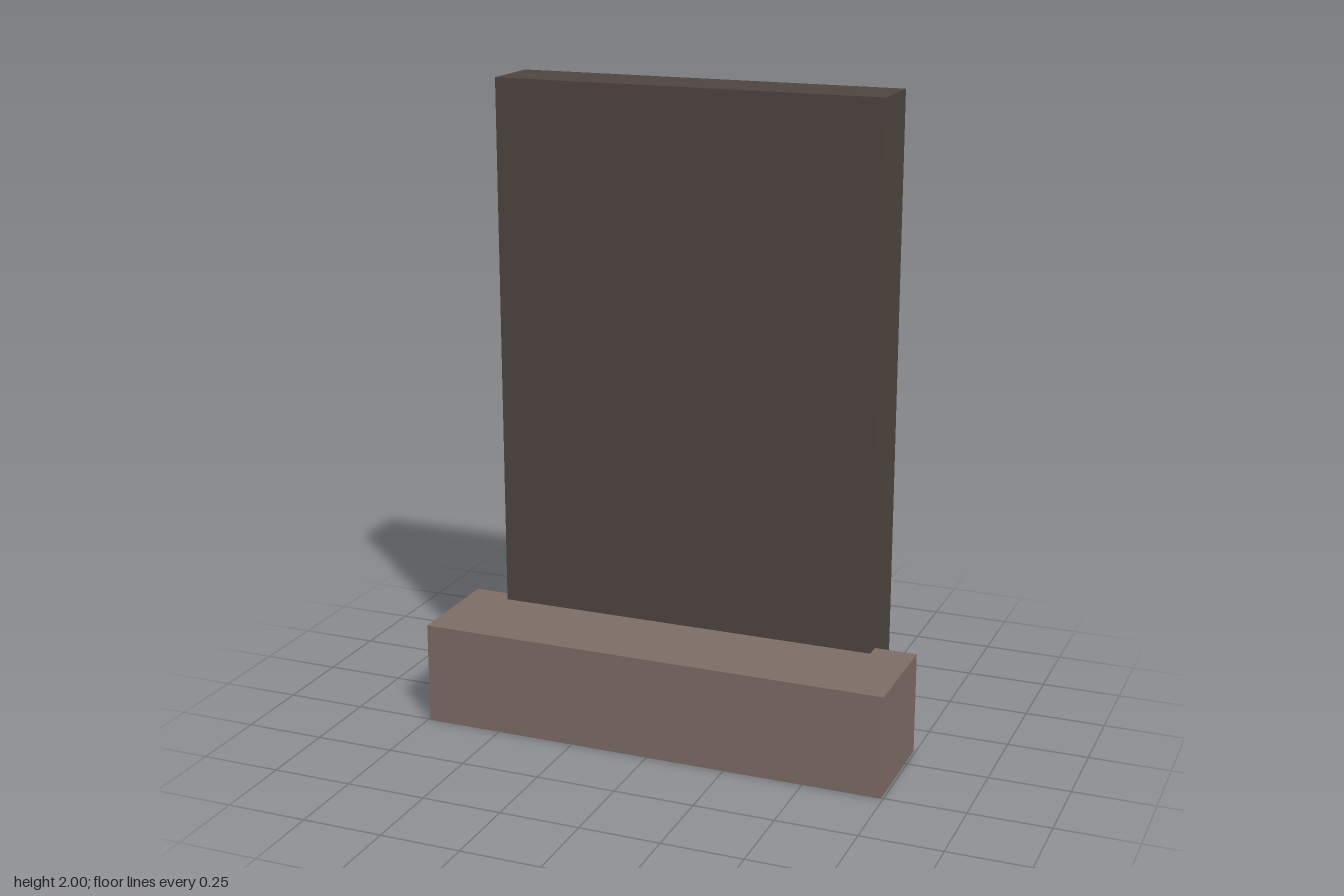
import * as THREE from 'three';

export function createModel() {
  const model = new THREE.Group();
  model.name = 'headstone';

  const darkStone = new THREE.MeshStandardMaterial({ color: 0x4f4640 });
  darkStone.name = 'dark stone';
  const lightStone = new THREE.MeshStandardMaterial({ color: 0x7e6e66 });
  lightStone.name = 'light stone';

  // Box spanning the given y and z ranges, centred on x
  const block = (name, material, width, [y0, y1], [z0, z1]) => {
    const mesh = new THREE.Mesh(new THREE.BoxGeometry(width, y1 - y0, z1 - z0), material);
    mesh.position.set(0, (y0 + y1) / 2, (z0 + z1) / 2);
    mesh.name = name;
    model.add(mesh);
  };

  // Upright slab, set into the rear of the plinth and raised off the ground
  block('slab', darkStone, 1.222, [0.075, 2], [-0.253, -0.046]);
  // Wide plinth in front
  block('plinth', lightStone, 1.486, [0, 0.32], [-0.095, 0.253]);

  return model;
}
